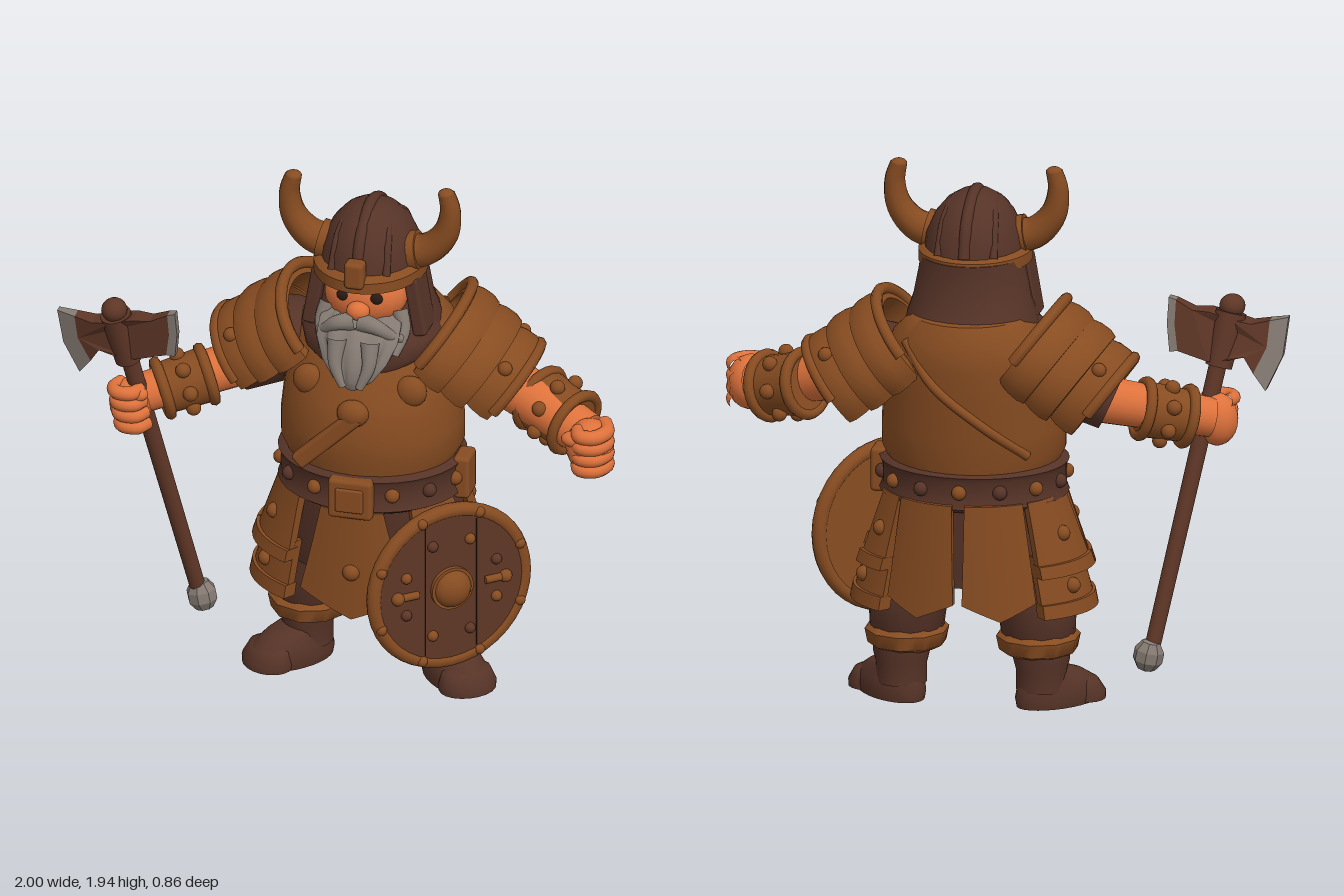
import * as THREE from 'three';
import { toCreasedNormals } from 'three/addons/utils/BufferGeometryUtils.js';
import { RoundedBoxGeometry } from 'three/addons/geometries/RoundedBoxGeometry.js';

const V = (x, y, z) => new THREE.Vector3(x, y, z);
const material = (name, color, side = THREE.FrontSide) => {
  const m = new THREE.MeshStandardMaterial({ color, side });
  m.name = name;
  return m;
};

// Closed body from elliptical rings [y, rx, rz, cz, cx], bottom to top
function loft(rings, seg = 28, ripple = 0) {
  const pos = [], idx = [], n = rings.length;
  for (const [y, rx, rz, cz = 0, cx = 0] of rings)
    for (let j = 0; j < seg; j++) {
      const a = (j / seg) * Math.PI * 2, k = 1 + ripple * Math.cos(a * 10);
      pos.push(cx + rx * k * Math.sin(a), y, cz + rz * k * Math.cos(a));
    }
  for (const r of [rings[0], rings[n - 1]]) pos.push(r[4] || 0, r[0], r[3] || 0);
  for (let j = 0; j < seg; j++) {
    const k = (j + 1) % seg, top = (n - 1) * seg;
    for (let i = 0; i < n - 1; i++) {
      const a = i * seg + j, b = i * seg + k;
      idx.push(a, b, b + seg, a, b + seg, a + seg);
    }
    idx.push(n * seg, k, j, n * seg + 1, top + j, top + k);
  }
  const g = new THREE.BufferGeometry();
  g.setAttribute('position', new THREE.Float32BufferAttribute(pos, 3));
  g.setIndex(idx);
  return toCreasedNormals(g, 0.9);
}

// Curved, flared skirt plate between two angles, with an optional point at the bottom
function panel(a0, a1, yTop, yBot, top, bot, point = 0, taper = 1, thick = 0.03) {
  const g = new THREE.BoxGeometry(1, 1, 1, 12, 4, 1), p = g.attributes.position;
  for (let i = 0; i < p.count; i++) {
    const t = 0.5 - p.getY(i), u = p.getX(i) * (taper + (1 - taper) * t), w = p.getZ(i) * thick;
    const a = (a0 + a1) / 2 + u * (a1 - a0);
    const rx = top[0] + (bot[0] - top[0]) * t + w, rz = top[1] + (bot[1] - top[1]) * t + w;
    const y = yTop + (yBot - yTop) * t - point * t * (1 - 2 * Math.abs(p.getX(i)));
    p.setXYZ(i, Math.sin(a) * rx, y, -0.09 + Math.cos(a) * rz);
  }
  g.computeVertexNormals();
  return g;
}

// Tube that narrows from r0 to r1
function taperTube(points, r0, r1) {
  const curve = new THREE.CatmullRomCurve3(points), ts = 20, rs = 12;
  const g = new THREE.TubeGeometry(curve, ts, 1, rs), p = g.attributes.position, v = V(0, 0, 0);
  for (let i = 0; i < p.count; i++) {
    const t = Math.floor(i / (rs + 1)) / ts, c = curve.getPointAt(t);
    v.fromBufferAttribute(p, i).sub(c).multiplyScalar(r0 + (r1 - r0) * t).add(c);
    p.setXYZ(i, v.x, v.y, v.z);
  }
  return g;
}

export function createModel() {
  const leather = material('leather brown', 0x874c21, THREE.DoubleSide);
  const dark = material('dark brown', 0x563327);
  const wood = material('reddish wood', 0x5e3626);
  const skin = material('skin', 0xde723c);
  const grey = material('grey', 0x847a72);
  const black = material('eye black', 0x2a1a14);

  const root = new THREE.Group(), body = new THREE.Group();
  body.name = 'body';
  body.position.x = 0.08;
  root.add(body);
  const add = (parent, name, geo, mat, x = 0, y = 0, z = 0) => {
    const m = new THREE.Mesh(geo, mat);
    m.name = name;
    m.position.set(x, y, z);
    parent.add(m);
    return m;
  };
  const ball = (parent, name, mat, x, y, z, rx, ry = rx, rz = rx) => {
    const m = add(parent, name, new THREE.SphereGeometry(1, 18, 12), mat, x, y, z);
    m.scale.set(rx, ry, rz);
    return m;
  };
  const rod = (parent, name, mat, a, b, ra, rb = ra) => {
    const d = b.clone().sub(a), m = add(parent, name, new THREE.CylinderGeometry(rb, ra, d.length(), 20), mat);
    m.position.copy(a).addScaledVector(d, 0.5);
    m.quaternion.setFromUnitVectors(V(0, 1, 0), d.normalize());
    return m;
  };
  const box = (parent, name, mat, w, h, d, x, y, z) =>
    add(parent, name, new RoundedBoxGeometry(w, h, d, 2, Math.min(w, h, d) * 0.25), mat, x, y, z);

  // Torso, collar and chest fittings
  add(body, 'torso', loft([[0.86, 0.29, 0.27, -0.09], [0.93, 0.325, 0.285, -0.09], [1.02, 0.325, 0.295, -0.09],
    [1.15, 0.315, 0.29, -0.11], [1.27, 0.3, 0.26, -0.15], [1.36, 0.27, 0.235, -0.175], [1.43, 0.2, 0.19, -0.18]], 36), leather);
  add(body, 'collar', loft([[1.25, 0.13, 0.08, 0.03], [1.31, 0.22, 0.15, -0.015], [1.37, 0.25, 0.19, -0.07], [1.44, 0.2, 0.18, -0.11]]), dark);
  const strap = box(body, 'chestStrap', leather, 0.3, 0.06, 0.05, -0.09, 1.03, 0.19);
  strap.rotation.z = 0.76;
  ball(body, 'chestKnob', leather, 0, 1.135, 0.18, 0.058, 0.05, 0.04);
  for (const s of [-1, 1]) ball(body, 'chestBoss', leather, s * 0.185, 1.2, 0.085, 0.058, 0.058, 0.04);
  add(body, 'backStrap', taperTube([V(0.2, 1.36, -0.325), V(0.09, 1.22, -0.395), V(-0.08, 1.08, -0.385), V(-0.23, 0.95, -0.29)], 0.017, 0.017), leather);

  // Belt with trims, studs and buckles
  add(body, 'belt', loft([[0.75, 0.31, 0.275, -0.085], [0.765, 0.335, 0.295, -0.085], [0.79, 0.325, 0.285, -0.085],
    [0.86, 0.325, 0.285, -0.085], [0.88, 0.335, 0.295, -0.085], [0.895, 0.31, 0.275, -0.085]], 36), dark);
  for (let i = 1; i < 14; i++) {
    const a = (i / 14) * Math.PI * 2;
    ball(body, 'beltStud', i % 2 ? leather : dark, Math.sin(a) * 0.325, 0.825, -0.085 + Math.cos(a) * 0.285, 0.026);
  }
  box(body, 'buckle', leather, 0.16, 0.15, 0.06, 0, 0.815, 0.2);
  box(body, 'buckleFace', leather, 0.1, 0.09, 0.03, 0, 0.815, 0.225);
  box(body, 'sideBuckle', leather, 0.06, 0.16, 0.11, 0.335, 0.82, -0.08);

  // Skirt: cloth core, front apron, layered side plates, back plates
  add(body, 'skirtCloth', loft([[0.46, 0.33, 0.22, -0.1], [0.6, 0.335, 0.25, -0.09], [0.8, 0.3, 0.265, -0.085]]), dark);
  add(body, 'apron', panel(-0.5, 0.5, 0.76, 0.42, [0.31, 0.285], [0.39, 0.28], 0.085, 0.72), leather);
  ball(body, 'apronStud', leather, 0, 0.52, 0.2, 0.032);
  for (const s of [-1, 1]) {
    const side = (name, a0, a1, ...r) => add(body, name, panel(Math.min(s * a0, s * a1), Math.max(s * a0, s * a1), ...r), leather);
    const stud = (a, r, y) => ball(body, 'plateStud', leather, s * Math.sin(a) * r, y, -0.09 + Math.cos(a) * 0.3, 0.028);
    for (const [a0, a1] of [[0.62, 1.5], [1.48, 2.4]]) {
      side('lowerSidePlate', a0, a1, 0.58, 0.37, [0.355, 0.27], [0.415, 0.28], 0, 0.97);
      side('lowerPlateRim', a0, a1, 0.41, 0.36, [0.405, 0.28], [0.415, 0.285], 0, 1, 0.05);
      stud((a0 + a1) / 2, 0.4, 0.46);
    }
    // the left hip leaves the cloth bare between its upper plates
    for (const [a0, a1] of s < 0 ? [[0.62, 1.5], [1.52, 2.4]] : [[0.62, 1.3], [1.95, 2.4]]) {
      side('upperSidePlate', a0, a1, 0.78, 0.52, [0.31, 0.28], [0.4, 0.295], 0, 0.88);
      side('upperPlateRim', a0, a1, 0.555, 0.51, [0.39, 0.295], [0.405, 0.3], 0, 1, 0.05);
      stud((a0 + a1) / 2, 0.365, 0.65);
    }
    side('backPlate', 2.38, 3.1, 0.78, 0.42, [0.31, 0.285], [0.37, 0.295], 0.06, 0.92);

    // Legs and boots
    add(body, 'trouserLeg', loft([[0.2, 0.1, 0.1, -0.12, s * 0.235], [0.25, 0.13, 0.13, -0.12, s * 0.235], [0.36, 0.14, 0.14, -0.12, s * 0.23],
      [0.5, 0.15, 0.16, -0.11, s * 0.19], [0.62, 0.14, 0.15, -0.1, s * 0.15]], 22), dark);
    add(body, 'trouserCuff', loft([[0.18, 0.1, 0.1, -0.12, s * 0.235], [0.2, 0.135, 0.14, -0.12, s * 0.235], [0.25, 0.145, 0.15, -0.12, s * 0.235],
      [0.275, 0.12, 0.12, -0.12, s * 0.235]], 30, 0.03), leather);
    const boot = new THREE.Group();
    boot.name = 'boot';
    boot.position.set(s * 0.25, 0, -0.14);
    boot.rotation.y = s * 0.75;
    body.add(boot);
    add(boot, 'foot', loft([[0, 0.095, 0.165, 0.07], [0.03, 0.1, 0.17, 0.07], [0.075, 0.095, 0.155, 0.065], [0.11, 0.08, 0.12, 0.045], [0.14, 0.07, 0.08, 0]]), dark);
    add(boot, 'bootShaft', loft([[0.06, 0.09, 0.09], [0.13, 0.09, 0.09], [0.17, 0.1, 0.1], [0.22, 0.1, 0.1]]), dark);
    add(boot, 'toeCap', loft([[0.005, 0.105, 0.085, 0.165], [0.03, 0.107, 0.085, 0.165], [0.075, 0.09, 0.065, 0.155], [0.09, 0.06, 0.04, 0.14]], 20), dark);
  }

  // Head, face and beard
  add(body, 'hood', loft([[1.37, 0.24, 0.23, -0.12], [1.42, 0.23, 0.21, -0.125], [1.48, 0.21, 0.175, -0.12], [1.63, 0.18, 0.18, -0.12]]), dark);
  ball(body, 'face', skin, 0, 1.53, 0, 0.15, 0.12, 0.105);
  ball(body, 'nose', skin, 0, 1.505, 0.11, 0.042, 0.035, 0.035);
  add(body, 'beard', loft([[1.235, 0.02, 0.02, 0.18], [1.27, 0.07, 0.045, 0.17], [1.33, 0.115, 0.065, 0.14], [1.4, 0.145, 0.085, 0.095],
    [1.45, 0.145, 0.08, 0.05], [1.475, 0.135, 0.05, 0.02]], 60, 0.07), grey);
  for (const s of [-1, 1]) {
    ball(body, 'eye', black, s * 0.06, 1.55, 0.088, 0.024, 0.022, 0.014);
    const flap = box(body, 'cheekFlap', dark, 0.05, 0.22, 0.13, s * 0.185, 1.5, -0.03);
    flap.rotation.z = s * 0.17;
    add(body, 'moustache', taperTube([V(s * 0.01, 1.47, 0.12), V(s * 0.07, 1.46, 0.13), V(s * 0.12, 1.42, 0.105), V(s * 0.15, 1.4, 0.08)], 0.035, 0.014), grey);
    add(body, 'cheekBeard', taperTube([V(s * 0.13, 1.49, 0.03), V(s * 0.15, 1.42, 0.05), V(s * 0.13, 1.34, 0.1)], 0.03, 0.015), grey);
    add(body, 'beardLock', taperTube([V(s * 0.06, 1.42, 0.17), V(s * 0.06, 1.33, 0.195), V(s * 0.03, 1.25, 0.205)], 0.035, 0.014), grey);

    // Horns
    add(body, 'horn', taperTube([V(s * 0.12, 1.68, -0.05), V(s * 0.21, 1.7, -0.05), V(s * 0.275, 1.77, -0.05), V(s * 0.292, 1.86, -0.05), V(s * 0.278, 1.925, -0.05)], 0.068, 0.03), leather);
    ball(body, 'hornTip', leather, s * 0.278, 1.922, -0.05, 0.03, 0.02, 0.03);
    rod(body, 'hornCollar', leather, V(s * 0.13, 1.68, -0.05), V(s * 0.18, 1.69, -0.05), 0.072);
    add(body, 'helmetRib', taperTube([V(s * 0.1, 1.65, 0.1), V(s * 0.09, 1.765, 0.04), V(s * 0.07, 1.82, -0.07), V(s * 0.09, 1.77, -0.18), V(s * 0.1, 1.65, -0.25)], 0.014, 0.014), dark);

    // Layered pauldrons following the slope of the shoulder, narrowing outward and wrapping lower at the back
    const p = new THREE.Group(), out = V(s * 0.8, -0.6, -0.04).normalize(), up = V(0, 0, s).cross(out).normalize();
    p.name = 'pauldron';
    p.quaternion.setFromRotationMatrix(new THREE.Matrix4().makeBasis(out.clone().cross(up), out, up));
    p.position.set(s * 0.21, 1.32, -0.155);
    body.add(p);
    const start = -Math.PI / 2 - (s > 0 ? 0.55 : 0.2), sweep = Math.PI + 0.75;
    [[0, 0.2, 1.27], [0.1, 0.203, 1.17], [0.2, 0.195, 1]].forEach(([h, r, wide]) => {
      const pts = [[r - 0.04, h], [r - 0.004, h], [r + 0.01, h + 0.05], [r + 0.012, h + 0.09], [r + 0.004, h + 0.118], [r - 0.04, h + 0.12], [r - 0.04, h]];
      const g = new THREE.LatheGeometry(pts.map(q => new THREE.Vector2(...q)), 30, start, sweep);
      add(p, 'shoulderPlate', toCreasedNormals(g, 0.6), leather).scale.x = wide;
    });
    for (const [h, r, wide] of [[0, 0.2, 1.25], [0.315, 0.195, 1]]) {
      const rim = add(p, 'shoulderRim', new THREE.TorusGeometry(r, 0.021, 8, 28, Math.PI), leather, 0, h);
      rim.rotation.x = Math.PI / 2;
      rim.scale.x = wide;
    }
    for (const a of [-0.8, 0.8]) ball(p, 'shoulderStud', leather, Math.sin(a) * 0.2, 0.25, Math.cos(a) * 0.2, 0.026);
    ball(body, 'shoulder', dark, s * 0.32, 1.23, -0.16, 0.17, 0.14, 0.17);
  }

  // Helmet
  add(body, 'helmetDome', loft([[1.62, 0.18, 0.21, -0.075], [1.7, 0.17, 0.2, -0.075], [1.77, 0.138, 0.165, -0.075], [1.815, 0.1, 0.12, -0.07],
    [1.843, 0.055, 0.07, -0.07], [1.855, 0.01, 0.01, -0.07]]), dark);
  add(body, 'helmetBrim', loft([[1.59, 0.18, 0.21, -0.065], [1.6, 0.2, 0.23, -0.065], [1.64, 0.2, 0.23, -0.065], [1.655, 0.18, 0.21, -0.065]], 36), leather);
  add(body, 'helmetCrest', taperTube([V(0, 1.65, 0.125), V(0, 1.765, 0.08), V(0, 1.84, -0.03), V(0, 1.84, -0.11), V(0, 1.77, -0.23), V(0, 1.65, -0.275)], 0.022, 0.022), dark);
  box(body, 'browPlate', leather, 0.07, 0.1, 0.06, 0, 1.67, 0.15);

  // Arms: sleeve, forearm, studded bracer
  const arm = (sleeve, fore, bracer, r) => {
    rod(root, 'sleeve', dark, ...sleeve, 0.13, 0.115);
    rod(root, 'forearm', skin, ...fore, r * 0.84, r * 0.7);
    rod(root, 'bracer', leather, ...bracer, r, r * 0.92);
    const [a, b] = bracer, d = b.clone().sub(a).normalize();
    const e1 = V(0, 1, 0).cross(d).normalize(), e2 = d.clone().cross(e1);
    for (const t of [0.06, 0.94]) {
      const ring = add(root, 'bracerRim', new THREE.TorusGeometry(r * 0.96, 0.02, 8, 24), leather);
      ring.position.lerpVectors(a, b, t);
      ring.quaternion.setFromUnitVectors(V(0, 0, 1), d);
    }
    for (let i = 0; i < 7; i++) {
      const q = (i / 7) * Math.PI * 2, c = a.clone().lerp(b, 0.5).addScaledVector(e1, Math.cos(q) * r).addScaledVector(e2, Math.sin(q) * r);
      ball(root, 'bracerStud', leather, c.x, c.y, c.z, 0.027);
    }
  };
  arm([V(-0.22, 1.22, -0.15), V(-0.42, 1.13, -0.13)], [V(-0.38, 1.13, -0.14), V(-0.74, 1.03, 0.04)], [V(-0.51, 1.085, -0.08), V(-0.67, 1.04, 0)], 0.1);
  arm([V(0.4, 1.24, -0.15), V(0.58, 1.16, -0.15)], [V(0.53, 1.18, -0.15), V(0.88, 1.07, 0)], [V(0.665, 1.125, -0.135), V(0.83, 1.08, -0.05)], 0.115);

  // Hands: palm and curled fingers
  ball(root, 'rightPalm', skin, -0.755, 1.015, 0.075, 0.075, 0.095, 0.075);
  ball(root, 'leftPalm', skin, 0.907, 1.06, 0.055, 0.085, 0.098, 0.09);
  for (let i = 0; i < 4; i++) {
    const y = 1.085 - i * 0.043, x = -0.772 + i * 0.008;
    add(root, 'rightFinger', taperTube([V(x + 0.06, y, 0.1), V(x + 0.035, y, 0.145), V(x - 0.015, y, 0.145), V(x - 0.035, y, 0.11), V(x - 0.02, y, 0.06)], 0.026, 0.024), skin);
    const ly = 1.125 - i * 0.043;
    add(root, 'leftFinger', taperTube([V(0.945, ly, 0), V(0.97, ly, 0.065), V(0.94, ly, 0.122), V(0.89, ly, 0.125), V(0.87, ly, 0.08)], 0.028, 0.026), skin);
  }
  ball(root, 'leftThumb', skin, 0.87, 1.1, 0.1, 0.055, 0.03, 0.035);
  ball(root, 'rightThumb', skin, -0.72, 1.075, 0.12, 0.04, 0.028, 0.03);

  // Axe, its foot leaning back
  const axeZ = y => 0.145 + (y - 1.4) * 0.212;
  const blade = (name, pts, mat) => {
    const g = new THREE.ExtrudeGeometry(new THREE.Shape(pts.map(q => new THREE.Vector2(...q))), { depth: 1, bevelEnabled: false });
    const p = g.attributes.position;
    for (let i = 0; i < p.count; i++) {
      const half = Math.max(0.014, 0.052 - Math.abs(p.getX(i) + 0.78) * 0.17);
      p.setZ(i, axeZ(p.getY(i)) + (p.getZ(i) - 0.5) * 2 * half);
    }
    g.computeVertexNormals();
    add(root, name, g, mat);
  };
  blade('axeHead', [[-0.935, 1.373], [-0.928, 1.28], [-0.885, 1.19], [-0.85, 1.245], [-0.8, 1.235], [-0.72, 1.225], [-0.61, 1.25], [-0.595, 1.34], [-0.597, 1.425],
    [-0.66, 1.395], [-0.72, 1.395], [-0.8, 1.375], [-0.87, 1.36]], wood);
  blade('axeEdge', [[-1, 1.385], [-0.985, 1.25], [-0.93, 1.13], [-0.885, 1.19], [-0.928, 1.28], [-0.935, 1.373]], grey);
  blade('axeBackEdge', [[-0.61, 1.25], [-0.58, 1.245], [-0.567, 1.34], [-0.57, 1.432], [-0.597, 1.425], [-0.595, 1.34]], grey);
  rod(root, 'axeHandle', wood, V(-0.555, 0.2, axeZ(0.2)), V(-0.79, 1.4, axeZ(1.4)), 0.028, 0.032);
  rod(root, 'axeSocket', wood, V(-0.755, 1.2, axeZ(1.2)), V(-0.792, 1.39, axeZ(1.39)), 0.048, 0.055);
  ball(root, 'axeKnob', wood, -0.795, 1.41, axeZ(1.41), 0.046, 0.043, 0.048);
  const pommel = add(root, 'axePommel', toCreasedNormals(new THREE.SphereGeometry(1, 8, 5), 0.3), grey, -0.547, 0.193, axeZ(0.19));
  pommel.scale.set(0.056, 0.062, 0.056);
  pommel.rotation.z = 0.2;

  // Round shield
  const shield = new THREE.Group();
  shield.name = 'shield';
  shield.position.set(0.437, 0.525, 0.213);
  shield.rotation.y = 0.72;
  root.add(shield);
  const disc = (name, mat, r, d, z) => { add(shield, name, new THREE.CylinderGeometry(r, r, d, 40), mat, 0, 0, z).rotation.x = Math.PI / 2; };
  disc('shieldBoards', wood, 0.29, 0.03, 0.005);
  disc('shieldBack', leather, 0.285, 0.012, -0.014);
  add(shield, 'shieldRim', new THREE.TorusGeometry(0.292, 0.027, 10, 40), leather);
  disc('bossPlate', leather, 0.08, 0.02, 0.025);
  ball(shield, 'shieldBoss', leather, 0, 0, 0.03, 0.07, 0.07, 0.05);
  for (const x of [-0.1, 0.1]) box(shield, 'plankGap', black, 0.004, 0.5, 0.004, x, 0, 0.02);
  for (const s of [-1, 1]) {
    rod(shield, 'shieldPin', leather, V(s * 0.13, 0, 0.025), V(s * 0.21, 0, 0.025), 0.014);
    ball(shield, 'pinHead', leather, s * 0.21, 0, 0.025, 0.024);
  }
  for (let i = 0; i < 8; i++) {
    const a = ((i + 0.5) / 8) * Math.PI * 2;
    ball(shield, 'shieldStud', i % 2 ? leather : wood, Math.cos(a) * 0.19, Math.sin(a) * 0.19, 0.022, 0.02);
    ball(shield, 'rimBolt', leather, Math.cos(a) * 0.292, Math.sin(a) * 0.292, 0.017, 0.02);
  }
  box(shield, 'shieldGrip', leather, 0.04, 0.2, 0.03, 0, 0, -0.03);
  return root;
}
